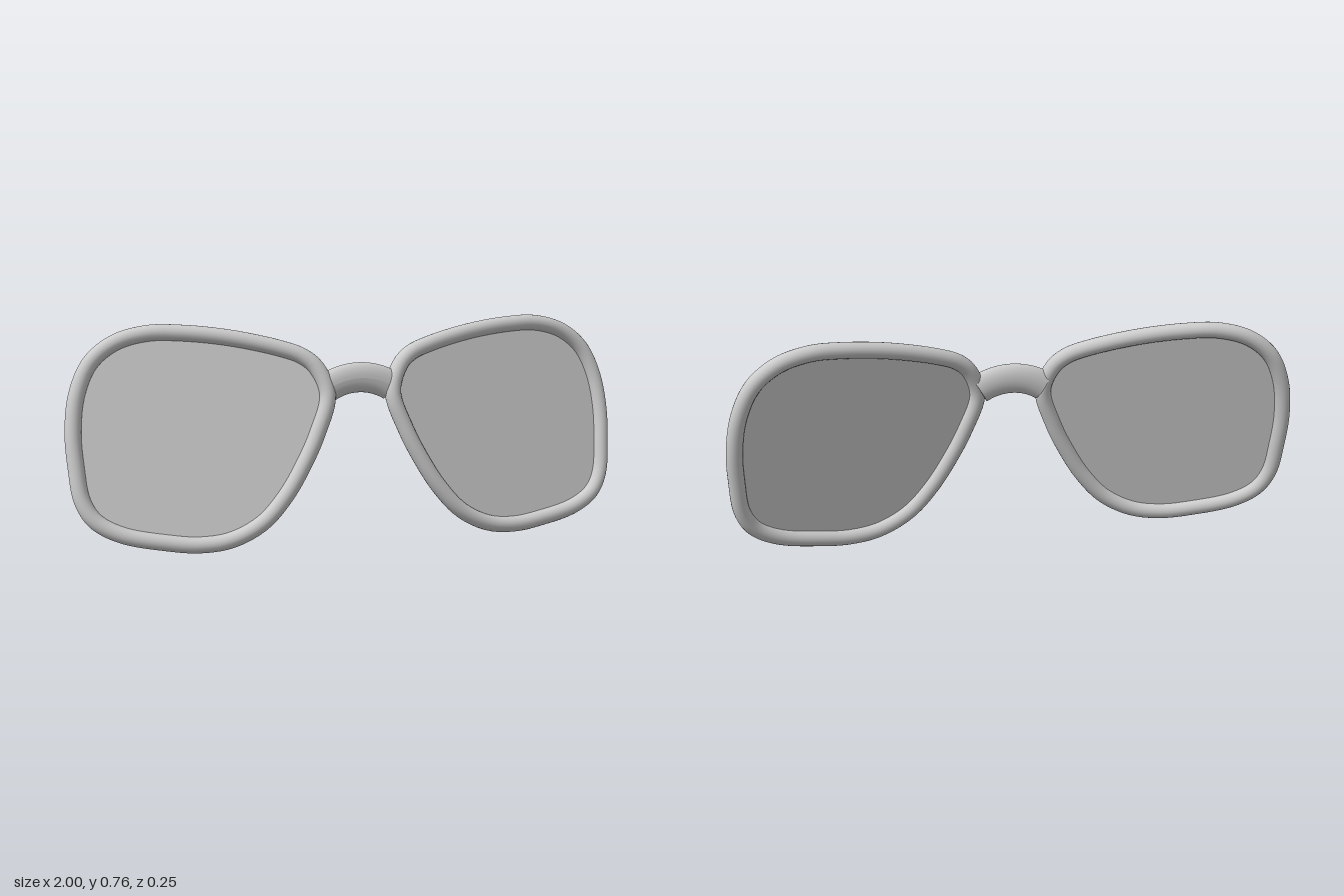
import * as THREE from 'three';

const RIM = 0.028;

// rim centreline (x, y) of the left lens, seen from the front
const OUTLINE = [
  [0.118, 0.525], [0.15, 0.615], [0.195, 0.655], [0.27, 0.683], [0.44, 0.721], [0.6, 0.739],
  [0.712, 0.739], [0.82, 0.709], [0.903, 0.643], [0.951, 0.542], [0.97, 0.418], [0.966, 0.3],
  [0.951, 0.188], [0.912, 0.122], [0.83, 0.075], [0.68, 0.044], [0.573, 0.034], [0.466, 0.048],
  [0.36, 0.102], [0.279, 0.188], [0.214, 0.289], [0.16, 0.396],
];

// each lens lies in a plane that leans back and sweeps outward
const planeZ = (x, y) => 0.1775 - 0.1716 * Math.abs(x) - 0.191 * y;

function createEyepiece(side, name, material, lensMaterial) {
  const eyepiece = new THREE.Group();
  eyepiece.name = name;
  const points = OUTLINE.map(([x, y]) => new THREE.Vector3(side * x, y, planeZ(x, y)));
  const path = new THREE.CatmullRomCurve3(points, true, 'centripetal');

  const rim = new THREE.Mesh(new THREE.TubeGeometry(path, 128, RIM, 20, true), material);
  rim.name = 'rim';

  // flat lens, tilted into the plane of its rim
  const shape = new THREE.Shape(path.getPoints(96).slice(0, -1).map((p) => new THREE.Vector2(p.x, p.y)));
  const geometry = new THREE.ShapeGeometry(shape);
  const pos = geometry.attributes.position;
  for (let i = 0; i < pos.count; i++) pos.setZ(i, planeZ(pos.getX(i), pos.getY(i)));
  geometry.computeVertexNormals();
  const lens = new THREE.Mesh(geometry, lensMaterial);
  lens.name = 'lens';

  eyepiece.add(rim, lens);
  return eyepiece;
}

// oval bar bent along an arc
function createBridge(material) {
  const R = 0.22, halfAngle = 0.55;
  const geometry = new THREE.CylinderGeometry(1, 1, 2 * R * halfAngle, 28, 24);
  geometry.rotateZ(Math.PI / 2);
  geometry.scale(1, 0.052, 0.029);
  const pos = geometry.attributes.position;
  for (let i = 0; i < pos.count; i++) {
    const angle = pos.getX(i) / R, r = R + pos.getY(i);
    pos.setXY(i, r * Math.sin(angle), r * Math.cos(angle) - R);
  }
  geometry.computeVertexNormals();
  const bridge = new THREE.Mesh(geometry, material);
  bridge.name = 'bridge';
  bridge.position.set(0, 0.579, 0.042);
  return bridge;
}

export function createModel() {
  const model = new THREE.Group();
  model.name = 'glassesFront';
  const material = new THREE.MeshStandardMaterial({ color: 0xcccccc });
  const lensMaterial = new THREE.MeshStandardMaterial({ color: 0xcccccc, side: THREE.DoubleSide });
  model.add(
    createEyepiece(1, 'leftEyepiece', material, lensMaterial),
    createEyepiece(-1, 'rightEyepiece', material, lensMaterial),
    createBridge(material),
  );
  return model;
}
